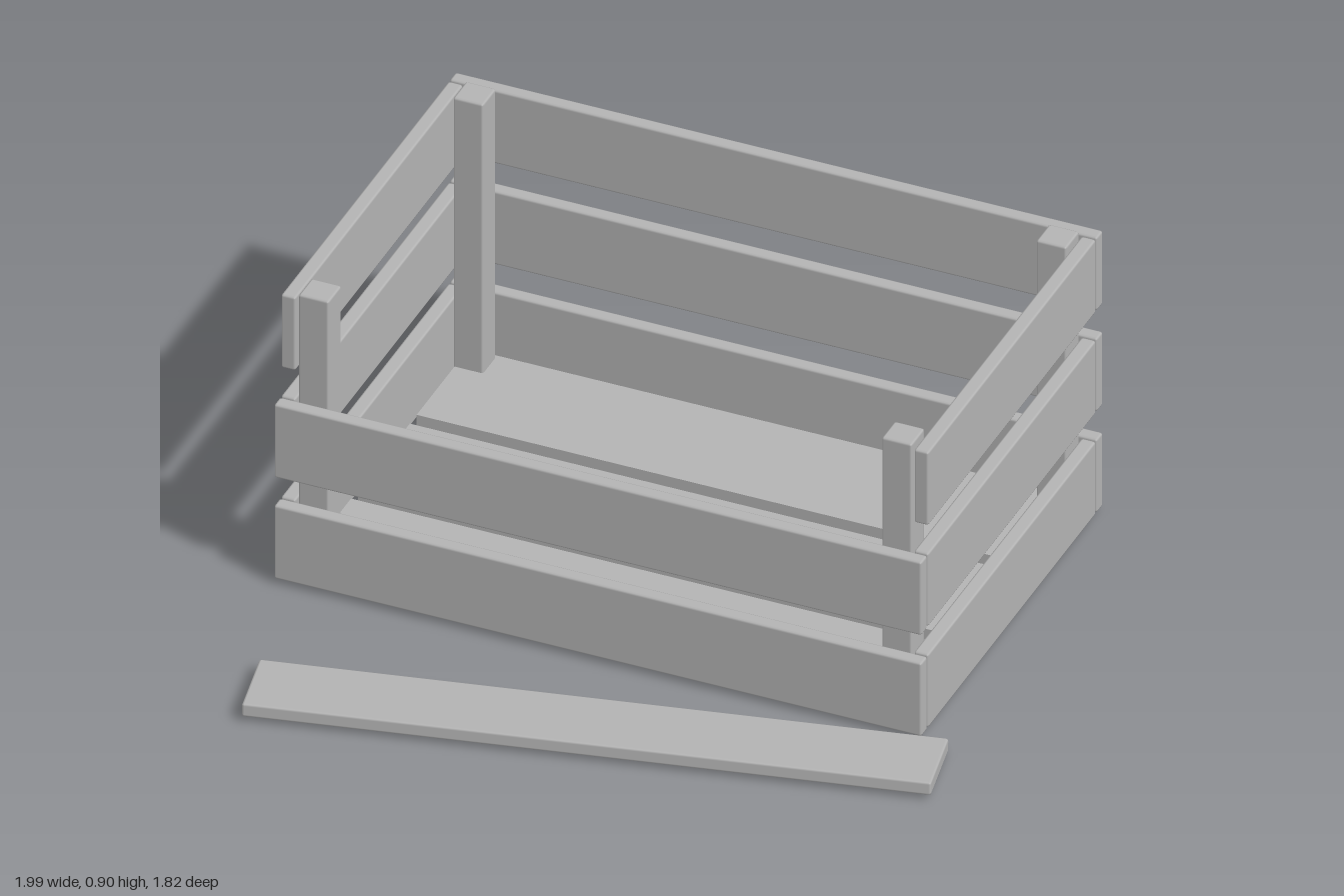
import * as THREE from 'three';
import { RoundedBoxGeometry } from 'three/addons/geometries/RoundedBoxGeometry.js';

export function createModel() {
  const model = new THREE.Group();
  model.name = 'woodenCrate';
  const grey = new THREE.MeshStandardMaterial({ color: 0xb4b4b4 });
  grey.name = 'plain grey';

  // A softly bevelled plank given by its extents on each axis
  function plank(name, [x0, x1], [y0, y1], [z0, z1], bevel = 0.007) {
    const size = [x1 - x0, y1 - y0, z1 - z0];
    const geometry = bevel
      ? new RoundedBoxGeometry(...size, 1, bevel)
      : new THREE.BoxGeometry(...size);
    const mesh = new THREE.Mesh(geometry, grey);
    mesh.name = name;
    mesh.position.set((x0 + x1) / 2, (y0 + y1) / 2, (z0 + z1) / 2);
    model.add(mesh);
    return mesh;
  }

  // Corner posts
  for (const x of [[-0.95, -0.863], [0.723, 0.81]])
    for (const z of [[-0.866, -0.78], [0.146, 0.232]])
      plank('cornerPost', x, [0.005, 0.905], z);

  // Three rows of wall boards; the top front board has come off
  for (let row = 0; row < 3; row++) {
    const y = [0.02 + row * 0.32, 0.252 + row * 0.32];
    plank('backBoard', [-1, 0.858], y, [-0.912, -0.872]);
    if (row < 2) plank('frontBoard', [-1, 0.858], y, [0.238, 0.278]);
    plank('rightBoard', [-1, -0.958], y, [-0.866, 0.232]);
    plank('leftBoard', [0.816, 0.858], y, [-0.866, 0.232]);
  }

  // Floor slats
  for (let i = 0; i < 3; i++) {
    const z = -0.872 + i * 0.385;
    plank('floorSlat', [-0.945, 0.805], [0.014, 0.054], [z, z + 0.34], 0);
  }

  // Loose board lying in front, slightly tilted
  const loose = plank('looseBoard', [-0.862, 0.988], [0.015, 0.055], [0.484, 0.716]);
  loose.rotation.set(-0.04, 0.21, 0, 'YXZ');

  return model;
}
